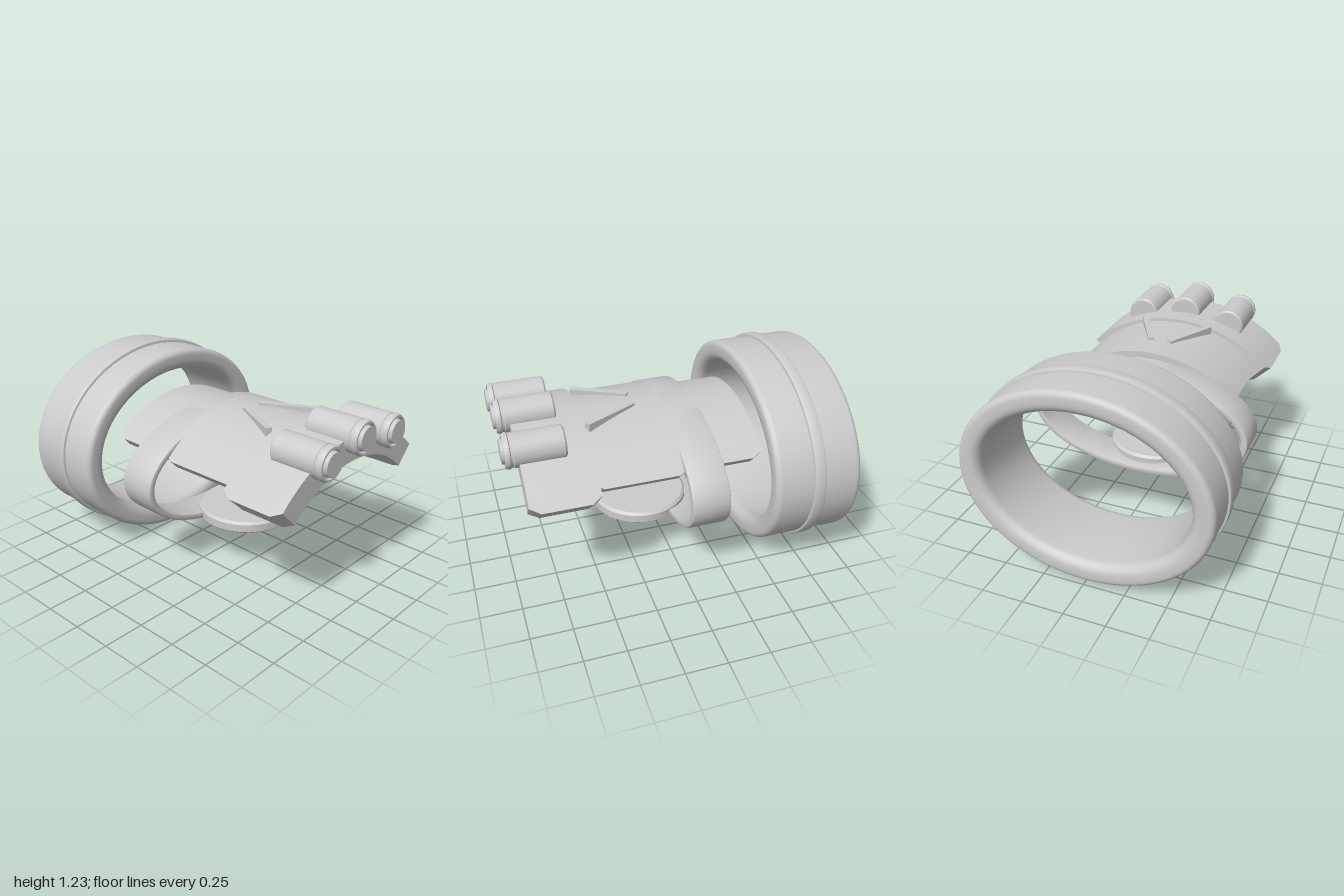
import * as THREE from 'three';
import { toCreasedNormals } from 'three/addons/utils/BufferGeometryUtils.js';

export function createModel() {
  const group = new THREE.Group();
  const material = new THREE.MeshStandardMaterial({ color: 0xcccccc });

  function add(name, geometry, x = 0, y = 0, z = 0) {
    const mesh = new THREE.Mesh(toCreasedNormals(geometry, 0.6), material);
    mesh.name = name;
    mesh.position.set(x, y, z);
    group.add(mesh);
    return mesh;
  }

  const lathe = (profile, segments) =>
    new THREE.LatheGeometry(profile.map(([r, h]) => new THREE.Vector2(r, h)), segments);

  // Elliptical band around z; thickness stays even all the way round
  function ovalBand(rx, ry, thickness, z0, z1, bevelOut, bevelIn, steps) {
    const profile = [];
    const corner = (cx, cz, r, start) => {
      for (let i = 0; i <= steps; i++) {
        const a = start + (i / steps) * Math.PI / 2;
        profile.push([10 + cx + r * Math.cos(a), cz + r * Math.sin(a)]);
      }
    };
    corner(-bevelOut, z0 + bevelOut, bevelOut, -Math.PI / 2);
    corner(-bevelOut, z1 - bevelOut, bevelOut, 0);
    corner(-thickness + bevelIn, z1 - bevelIn, bevelIn, Math.PI / 2);
    corner(-thickness + bevelIn, z0 + bevelIn, bevelIn, Math.PI);
    profile.push(profile[0]);
    const geometry = lathe(profile, 56).rotateX(Math.PI / 2);
    const p = geometry.attributes.position;
    for (let i = 0; i < p.count; i++) {
      const r = Math.hypot(p.getX(i), p.getY(i));
      const d = r - 10;
      p.setXY(i, (p.getX(i) / r) * (rx + d), (p.getY(i) / r) * (ry + d));
    }
    return geometry;
  }

  // Box bent into an arched plate, its four corners cut off
  function archPlate(innerR, outerR, centreY, angle, z0, z1, cut) {
    const geometry = new THREE.BoxGeometry(1, 1, 1, 28, 1, 3);
    const p = geometry.attributes.position;
    const levels = [z0, z0 + cut, z1 - cut, z1];
    for (let i = 0; i < p.count; i++) {
      const level = Math.round((p.getZ(i) + 0.5) * 3);
      const end = level === 0 || level === 3;
      const a = p.getX(i) * 2 * (angle - (end ? cut * 0.75 : 0));
      const r = p.getY(i) > 0 ? outerR : innerR;
      p.setXYZ(i, r * Math.sin(a), centreY + r * Math.cos(a), levels[level]);
    }
    return geometry;
  }

  // Wrist cuff with its raised middle band
  add('cuff', ovalBand(0.75, 0.595, 0.133, -1, -0.465, 0.035, 0.06, 5), 0, 0.62);
  add('cuffBand', ovalBand(0.765, 0.615, 0.05, -0.77, -0.695, 0.012, 0.005, 2), 0, 0.62);

  // Strap round the palm
  add('palmStrap', ovalBand(0.695, 0.345, 0.04, -0.21, 0.02, 0.012, 0.008, 2), 0, 0.62);

  // Overlapping back-of-hand plates
  add('knucklePlate', archPlate(0.7245, 0.873, 0.155, 0.803, 0.51, 0.91, 0.06));
  add('handPlate', archPlate(0.728, 0.797, 0.213, 0.761, 0, 0.53, 0.045));
  add('wristPlate', archPlate(0.705, 0.768, 0.202, 0.71, -0.475, 0.04, 0.06));

  // Raised slanted ribs on the hand plate
  for (const side of [-1, 1]) {
    const rib = add(side > 0 ? 'leftRib' : 'rightRib',
      new THREE.BoxGeometry(0.038, 0.075, 0.35), side * 0.14, 0.985, 0.34);
    rib.rotation.y = side * 0.48;
  }

  // Knuckle barrels with a grooved collar and a centre cap
  const barrel = [[0, 0.645], [0.09, 0.645], [0.1, 0.655], [0.1, 0.935], [0.094, 0.94],
    [0.094, 0.95], [0.102, 0.955], [0.102, 0.97], [0.094, 0.984], [0.083, 0.984],
    [0.079, 0.968], [0.071, 0.968], [0.069, 1], [0, 1]];
  for (const [name, x, y] of [['rightBarrel', -0.3, 0.98], ['middleBarrel', 0, 1.03], ['leftBarrel', 0.3, 0.98]])
    add(name, lathe(barrel, 32).rotateX(Math.PI / 2), x, y);

  // Palm disc with a recessed underside
  add('palmDisc', lathe([[0, 0.28], [0.212, 0.28], [0.22, 0.266], [0.245, 0.266], [0.252, 0.29],
    [0.28, 0.29], [0.295, 0.303], [0.295, 0.35], [0.28, 0.365], [0, 0.365]], 40), 0, 0, 0.14);

  return group;
}
